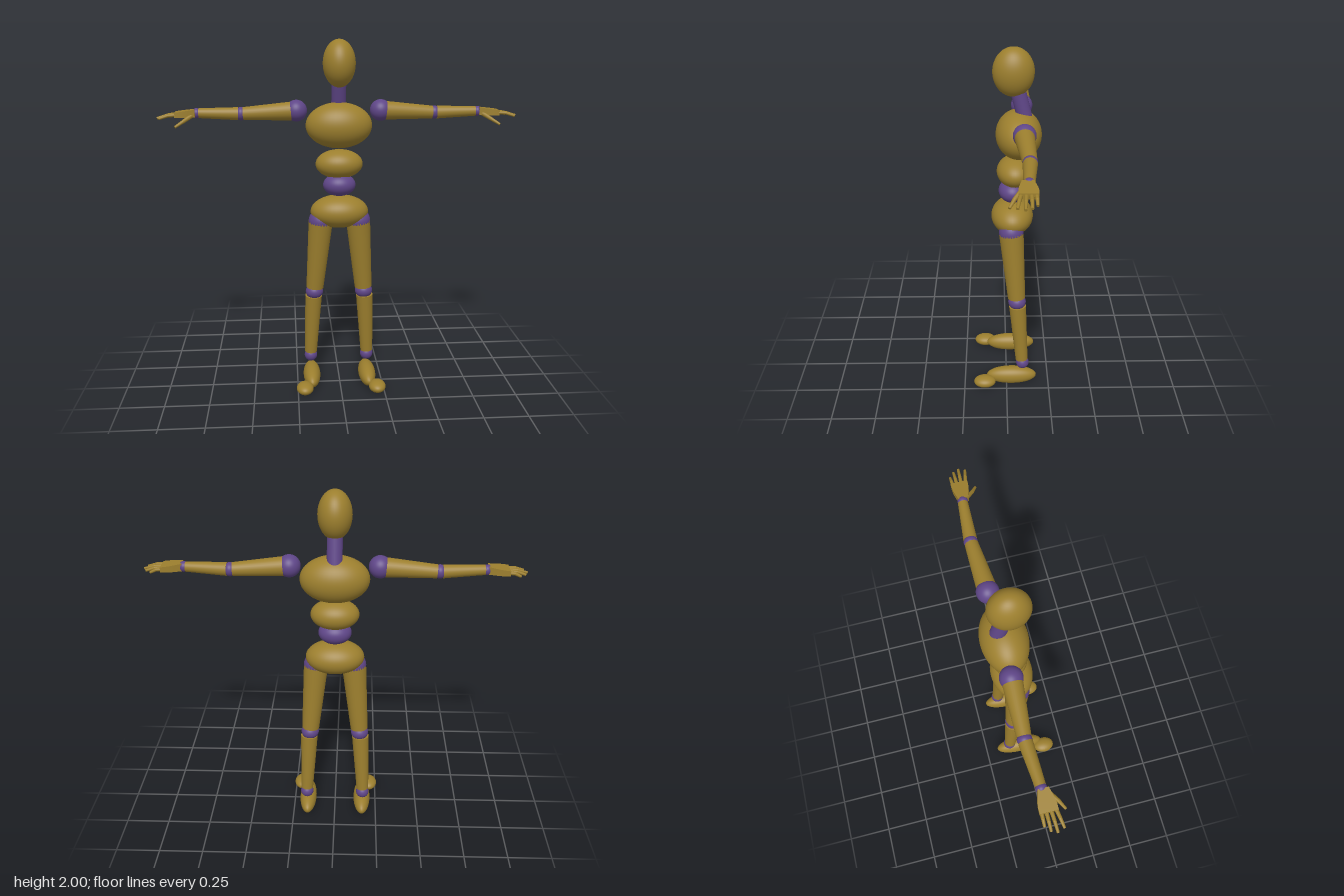
import * as THREE from 'three';

const wood = new THREE.MeshStandardMaterial({ color: 0x9c7f2e });
wood.name = 'wood';
const joint = new THREE.MeshStandardMaterial({ color: 0x5f4688 });
joint.name = 'joint purple';

const V = (p) => new THREE.Vector3(...p);
const UP = new THREE.Vector3(0, 1, 0);

export function createModel() {
  const model = new THREE.Group();
  model.name = 'artistMannequin';

  function add(parent, name, geometry, material) {
    const mesh = new THREE.Mesh(geometry, material);
    mesh.name = name;
    parent.add(mesh);
    return mesh;
  }

  // Ellipsoid from centre and three radii
  function ball(parent, name, centre, radii, material) {
    const mesh = add(parent, name, new THREE.SphereGeometry(1, 40, 28).scale(...radii), material);
    mesh.position.set(...centre);
    return mesh;
  }

  // Tapered round limb between two points
  function limb(parent, name, a, b, ra, rb, material, sides = 28) {
    const start = V(a), end = V(b);
    const axis = end.clone().sub(start);
    const mesh = add(parent, name, new THREE.CylinderGeometry(rb, ra, axis.length(), sides), material);
    mesh.position.copy(start).add(end).multiplyScalar(0.5);
    mesh.quaternion.setFromUnitVectors(UP, axis.normalize());
    return mesh;
  }

  // Ellipsoid whose underside is flattened at ground level
  function soleBall(parent, name, centre, radii) {
    const geometry = new THREE.SphereGeometry(1, 40, 28).scale(...radii).translate(...centre);
    const p = geometry.attributes.position;
    for (let i = 0; i < p.count; i++) p.setY(i, Math.max(0, p.getY(i)));
    geometry.computeVertexNormals();
    add(parent, name, geometry, wood);
  }

  // Head and torso
  ball(model, 'head', [0, 1.865, -0.038], [0.09, 0.13, 0.11], wood);
  limb(model, 'neck', [0, 1.6, -0.103], [0, 1.78, -0.058], 0.041, 0.041, joint);
  ball(model, 'chest', [0, 1.524, -0.067], [0.186, 0.128, 0.124], wood);
  ball(model, 'belly', [0, 1.31, -0.048], [0.133, 0.082, 0.1], wood);
  ball(model, 'waist', [0, 1.193, -0.035], [0.092, 0.064, 0.077], joint);
  ball(model, 'pelvis', [0, 1.04, -0.034], [0.164, 0.094, 0.117], wood);

  for (const [side, s] of [['left', 1], ['right', -1]]) {
    // Leg
    const leg = new THREE.Group();
    leg.name = side + 'Leg';
    model.add(leg);
    ball(leg, 'hip', [s * 0.107, 0.985, -0.027], [0.069, 0.069, 0.069], joint);
    limb(leg, 'thigh', [s * 0.107, 0.985, -0.027], [s * 0.142, 0.578, -0.058], 0.069, 0.05, wood);
    ball(leg, 'knee', [s * 0.145, 0.551, -0.061], [0.051, 0.044, 0.051], joint);
    limb(leg, 'shin', [s * 0.15, 0.524, -0.064], [s * 0.168, 0.16, -0.09], 0.049, 0.036, wood);
    ball(leg, 'ankle', [s * 0.168, 0.134, -0.095], [0.038, 0.038, 0.038], joint);
    soleBall(leg, 'foot', [s * 0.165, 0.038, -0.03], [0.05, 0.055, 0.148]);
    soleBall(leg, 'toes', [s * 0.21, 0.025, 0.13], [0.049, 0.033, 0.065]);

    // Arm
    const arm = new THREE.Group();
    arm.name = side + 'Arm';
    model.add(arm);
    ball(arm, 'shoulder', [s * 0.236, 1.605, -0.09], [0.06, 0.06, 0.06], joint);
    limb(arm, 'upperArm', [s * 0.26, 1.603, -0.09], [s * 0.53, 1.589, -0.104], 0.052, 0.036, wood);
    ball(arm, 'elbow', [s * 0.543, 1.589, -0.105], [0.032, 0.037, 0.037], joint);
    limb(arm, 'forearm', [s * 0.558, 1.589, -0.104], [s * 0.775, 1.595, -0.091], 0.036, 0.027, wood);
    ball(arm, 'wrist', [s * 0.785, 1.595, -0.09], [0.026, 0.028, 0.028], joint);

    // Palm: a block that widens and thins toward the knuckles
    const hand = new THREE.Group();
    hand.name = side + 'Hand';
    arm.add(hand);
    const palm = new THREE.BoxGeometry(0.11, 0.036, 0.09, 4, 1, 1);
    const p = palm.attributes.position;
    for (let i = 0; i < p.count; i++) {
      const t = s * p.getX(i) / 0.11 + 0.5;
      p.setY(i, p.getY(i) * (1.15 - 0.35 * t) - 0.008 * t);
      p.setZ(i, p.getZ(i) * (0.6 + 0.4 * Math.min(1, t * 1.6)));
    }
    palm.computeVertexNormals();
    add(hand, 'palm', palm, wood).position.set(s * 0.847, 1.597, -0.084);

    // Fingers as [base z, tip x, tip z], each of two segments
    const fingers = [[-0.118, 0.957, -0.12], [-0.096, 0.985, -0.096], [-0.073, 0.998, -0.067], [-0.05, 0.985, -0.033]];
    fingers.forEach(([z0, x1, z1], i) => {
      const a = [s * 0.89, 1.59, z0];
      const m = [s * (0.89 + x1) / 2, 1.587, (z0 + z1) / 2];
      limb(hand, 'fingerBase' + (i + 1), a, m, 0.0105, 0.009, wood, 12);
      ball(hand, 'fingerKnuckle' + (i + 1), m, [0.009, 0.009, 0.009], wood);
      limb(hand, 'fingerTip' + (i + 1), m, [s * x1, 1.572, z1], 0.009, 0.007, wood, 12);
    });

    // Thumb
    const knuckle = [s * 0.855, 1.555, -0.025];
    limb(hand, 'thumbBase', [s * 0.805, 1.587, -0.068], knuckle, 0.013, 0.01, wood, 12);
    ball(hand, 'thumbKnuckle', knuckle, [0.01, 0.01, 0.01], wood);
    limb(hand, 'thumbTip', knuckle, [s * 0.895, 1.53, 0], 0.01, 0.007, wood, 12);
  }
  return model;
}
